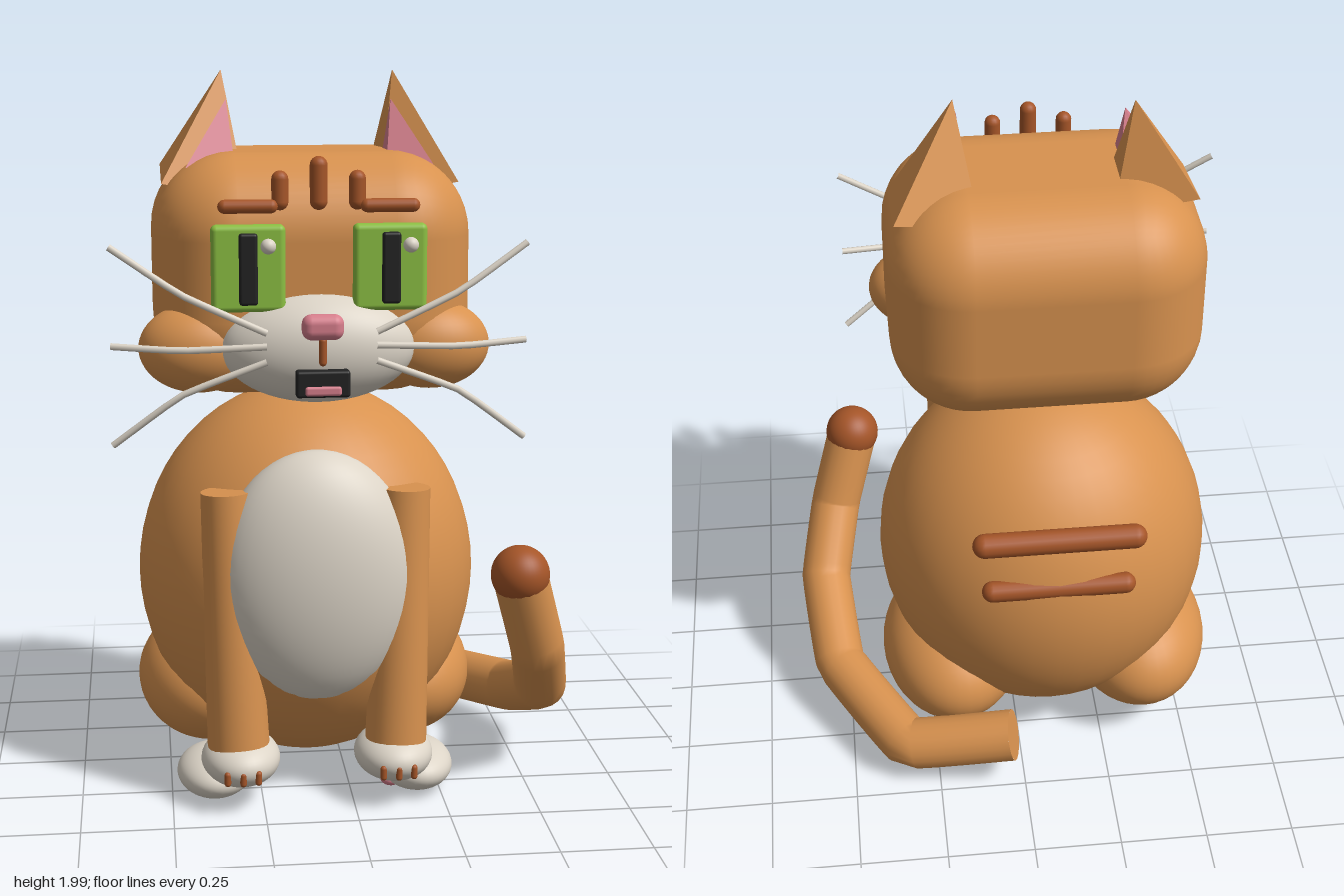
import * as THREE from 'three';
import { RoundedBoxGeometry } from 'three/addons/geometries/RoundedBoxGeometry.js';

const mat = (name, color) => {
  const m = new THREE.MeshStandardMaterial({ color });
  m.name = name;
  return m;
};

export function createModel() {
  const root = new THREE.Group();
  root.name = 'cat';
  const cat = new THREE.Group();
  cat.name = 'sittingCat';
  cat.position.x = -0.0975; // the tail on one side shifts the body off centre
  root.add(cat);

  const orange = mat('orangeFur', 0xd8924f);
  const brown = mat('brownStripe', 0xa55528);
  const cream = mat('creamFur', 0xdcd4c7);
  const pink = mat('pinkSkin', 0xd87f8d);
  const green = mat('greenEye', 0x8cc043);
  const black = mat('black', 0x222222);

  const add = (name, geo, material, x = 0, y = 0, z = 0) => {
    const m = new THREE.Mesh(geo, material);
    m.name = name;
    m.position.set(x, y, z);
    cat.add(m);
    return m;
  };
  const ellipsoid = (name, material, p, r) => {
    const m = add(name, new THREE.SphereGeometry(1, 40, 28), material, ...p);
    m.scale.set(...r);
    return m;
  };
  const box = (name, material, p, s, r) =>
    add(name, new RoundedBoxGeometry(s[0], s[1], s[2], 6, r), material, ...p);
  // capsule with its full length along x or y
  const bar = (name, material, p, r, length, alongX) => {
    const m = add(name, new THREE.CapsuleGeometry(r, length - 2 * r, 6, 16), material, ...p);
    if (alongX) m.rotation.z = Math.PI / 2;
    return m;
  };
  // four-sided pyramid: back-left, front-left, front-right, back-right, apex
  const pyramid = (name, material, a, b, c, d, top) => {
    const tris = [a, b, top, b, c, top, c, d, top, d, a, top, a, d, c, a, c, b];
    const geo = new THREE.BufferGeometry();
    geo.setAttribute('position', new THREE.Float32BufferAttribute(tris.flat(), 3));
    geo.computeVertexNormals();
    return add(name, geo, material);
  };
  const path = (pts, tension) =>
    new THREE.CatmullRomCurve3(pts.map((p) => new THREE.Vector3(...p)), false, 'catmullrom', tension);

  // Body and head
  ellipsoid('body', orange, [0, 0.585, -0.02], [0.481, 0.54, 0.453]);
  ellipsoid('belly', cream, [0, 0.643, 0.31], [0.275, 0.357, 0.155]);
  box('head', orange, [0, 1.465, 0.055], [0.855, 0.65, 0.68], 0.22);
  ellipsoid('muzzle', cream, [0, 1.293, 0.375], [0.255, 0.145, 0.12]);

  // Ears
  pyramid('rightEar', orange, [-0.4, 1.74, -0.075], [-0.4, 1.705, 0.165],
    [-0.17, 1.66, 0.125], [-0.175, 1.69, -0.05], [-0.23, 2, 0]);
  pyramid('leftEar', orange, [0.177, 1.69, -0.075], [0.2, 1.66, 0.1],
    [0.41, 1.7, 0.125], [0.405, 1.735, -0.12], [0.235, 2, 0.05]);
  pyramid('rightInnerEar', pink, [-0.3, 1.75, 0.07], [-0.335, 1.75, 0.2],
    [-0.2, 1.73, 0.17], [-0.2, 1.73, 0.04], [-0.222, 1.925, 0.1]);
  pyramid('leftInnerEar', pink, [0.2, 1.73, 0.06], [0.205, 1.73, 0.165],
    [0.335, 1.75, 0.165], [0.34, 1.75, 0.1], [0.222, 1.925, 0.12]);

  for (const s of [-1, 1]) {
    const side = s < 0 ? 'right' : 'left';

    // Face
    ellipsoid(side + 'Cheek', orange, [s * 0.31, 1.282, 0.285], [0.16, 0.12, 0.118]);
    box(side + 'Eye', green, [s * 0.184, 1.508, 0.41], [0.192, 0.225, 0.045], 0.015);
    box(side + 'Pupil', black, [s * 0.185, 1.508, 0.43], [0.048, 0.185, 0.035], 0.008);
    ellipsoid(side + 'EyeGlint', cream, [s * 0.184 + 0.05, 1.568, 0.447], [0.02, 0.02, 0.02]);
    bar(side + 'Brow', brown, [s * 0.184, 1.667, 0.413], 0.018, 0.155, true);
    bar(side + 'ForeheadStripe', brown, [s * 0.1, 1.706, 0.398], 0.022, 0.102);

    // Whiskers
    for (const [y0, y1, y2] of [[1.35, 1.45, 1.57], [1.315, 1.306, 1.315], [1.275, 1.19, 1.055]]) {
      const curve = path([[s * 0.142, y0, 0.485], [s * 0.36, y1, 0.468], [s * 0.54, y2, 0.437]], 0.2);
      add(side + 'Whisker', new THREE.TubeGeometry(curve, 8, 0.009, 8), cream);
    }

    // Front leg with paw and toe lines
    const from = new THREE.Vector3(s * 0.218, 0.15, 0.33);
    const to = new THREE.Vector3(s * 0.243, 0.89, 0.302);
    const dir = to.clone().sub(from);
    const leg = add(side + 'FrontLeg', new THREE.CylinderGeometry(0.07, 0.086, dir.length(), 28),
      orange, ...from.clone().add(to).multiplyScalar(0.5).toArray());
    leg.quaternion.setFromUnitVectors(new THREE.Vector3(0, 1, 0), dir.normalize());
    ellipsoid(side + 'FrontPaw', cream, [s * 0.213, 0.135, 0.32], [0.109, 0.072, 0.135]);
    for (const t of [-1, 0, 1])
      bar(side + 'ToeLine', brown, [s * 0.213 + t * 0.042, 0.12, t ? 0.443 : 0.449], 0.009, 0.042);

    // Hind leg
    ellipsoid(side + 'Haunch', orange, [s * 0.28, 0.24, -0.1], [0.21, 0.185, 0.29]);
    ellipsoid(side + 'HindPaw', cream, [s * 0.283, 0.075, 0.255], [0.105, 0.065, 0.145]);
  }
  ellipsoid('pawPad', pink, [0.21, 0.045, 0.3], [0.03, 0.02, 0.03]);
  bar('middleForeheadStripe', brown, [0, 1.724, 0.398], 0.023, 0.138);

  // Nose and mouth
  box('nose', pink, [0, 1.367, 0.503], [0.108, 0.066, 0.055], 0.025);
  bar('noseLine', brown, [0, 1.303, 0.505], 0.01, 0.075);
  box('mouth', black, [0, 1.22, 0.5], [0.14, 0.07, 0.04], 0.008);
  box('tongue', pink, [0, 1.203, 0.516], [0.095, 0.026, 0.018], 0.008);

  // Back stripes, mostly sunk into the body
  for (const [y, z, r, length] of [[0.9, -0.43, 0.034, 0.48], [0.73, -0.43, 0.03, 0.43], [0.57, -0.414, 0.028, 0.35]])
    bar('backStripe', brown, [0, y, z], r, length, true);

  // Tail with a flat end and a dark tip
  const tail = path([[0.13, 0.18, -0.46], [0.435, 0.115, -0.4], [0.625, 0.16, -0.09],
    [0.655, 0.27, 0.19], [0.61, 0.44, 0.35], [0.545, 0.66, 0.413]], 0.08);
  add('tail', new THREE.TubeGeometry(tail, 40, 0.075, 20), orange);
  const cap = add('tailEnd', new THREE.CircleGeometry(0.075, 20), orange, ...tail.getPoint(0).toArray());
  cap.quaternion.setFromUnitVectors(new THREE.Vector3(0, 0, 1), tail.getTangent(0).negate());
  ellipsoid('tailTip', brown, [0.545, 0.665, 0.413], [0.08, 0.08, 0.08]);

  return root;
}
